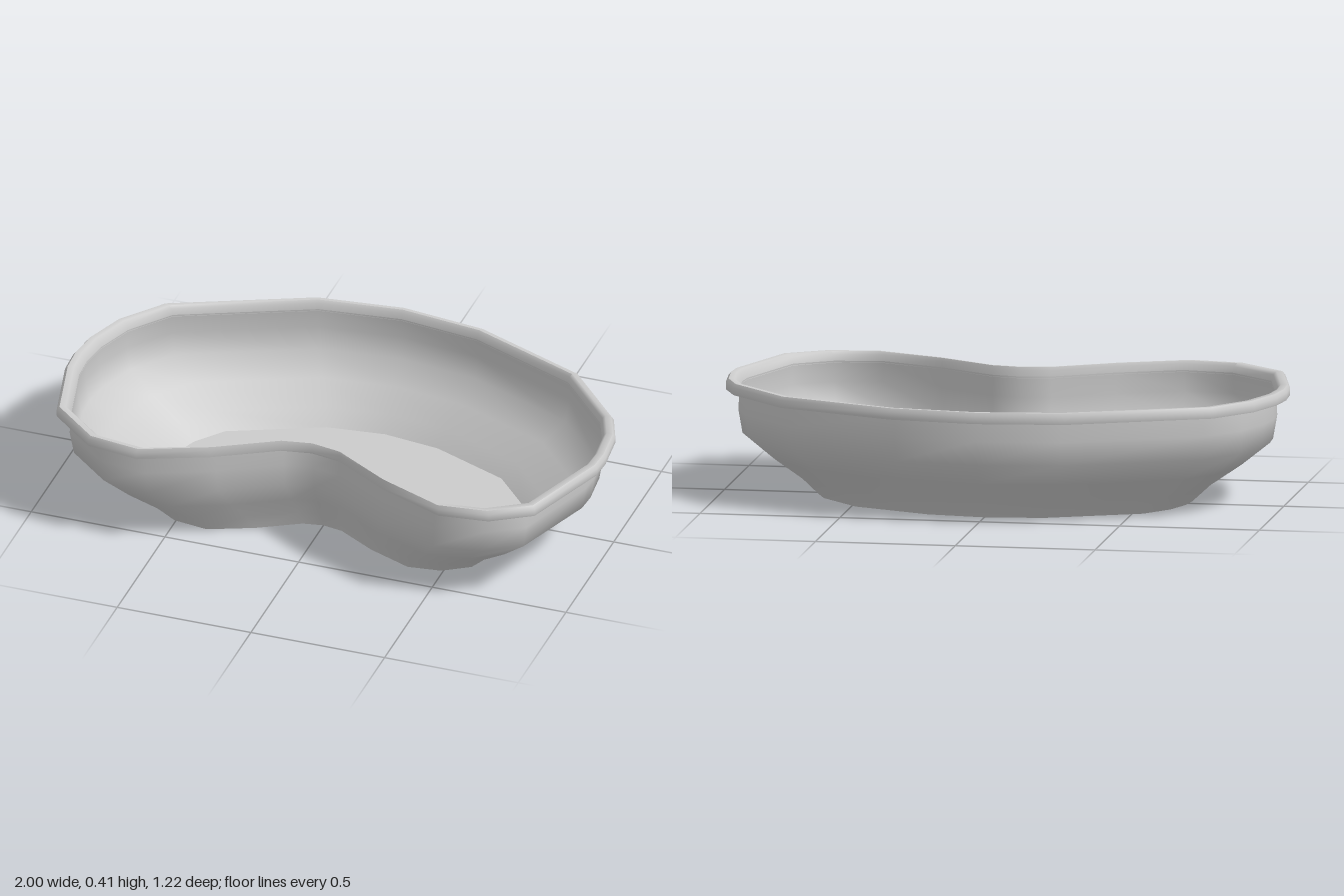
import * as THREE from 'three';
import { toCreasedNormals } from 'three/addons/utils/BufferGeometryUtils.js';

// Kidney outline as [x, z], from the middle of the back, round by the left end
const OUTLINE = [
  [0, -0.612], [0.31, -0.572], [0.73, -0.4], [0.94, -0.17], [0.985, -0.06], [1, 0.08], [0.995, 0.16],
  [0.88, 0.49], [0.74, 0.58], [0.56, 0.603], [0.32, 0.505], [0.11, 0.38],
  [0, 0.36], [-0.11, 0.38], [-0.33, 0.505], [-0.57, 0.605], [-0.76, 0.577], [-0.93, 0.43],
  [-0.995, 0.16], [-1, 0.06], [-0.985, -0.05], [-0.93, -0.2], [-0.81, -0.355], [-0.315, -0.575],
];

// Skins a stack of scaled outlines; each profile entry is [scale, y]
function skin(profile) {
  const n = OUTLINE.length;
  const positions = [];
  const index = [];
  for (const [s, y] of profile) {
    for (const [x, z] of OUTLINE) positions.push(x * s, y, z * s);
  }
  for (let k = 0; k < profile.length - 1; k++) {
    for (let j = 0; j < n; j++) {
      const a = k * n + j;
      const b = k * n + (j + 1) % n;
      index.push(a, a + n, b, b, a + n, b + n);
    }
  }
  const geometry = new THREE.BufferGeometry();
  geometry.setAttribute('position', new THREE.Float32BufferAttribute(positions, 3));
  geometry.setIndex(index);
  geometry.computeVertexNormals();
  return geometry;
}

export function createModel() {
  const group = new THREE.Group();
  group.name = 'kidneyDish';
  const material = new THREE.MeshStandardMaterial({ color: 0xcccccc, side: THREE.DoubleSide });
  const add = (name, geometry) => {
    const mesh = new THREE.Mesh(geometry, material);
    mesh.name = name;
    group.add(mesh);
  };

  // Flat base
  add('floor', skin([[0, 0], [0.665, 0]]));

  // Thin flared wall, upright near the top
  add('wall', skin([
    [0.665, 0], [0.73, 0.06], [0.84, 0.135], [0.94, 0.215], [0.955, 0.3], [0.95, 0.375],
  ]));

  // Thick rim with softened top edges
  add('rim', toCreasedNormals(skin([
    [0.95, 0.368], [0.998, 0.368], [1, 0.374], [1, 0.395], [0.99, 0.408],
    [0.968, 0.408], [0.957, 0.397], [0.95, 0.368],
  ]), 0.9));

  return group;
}
